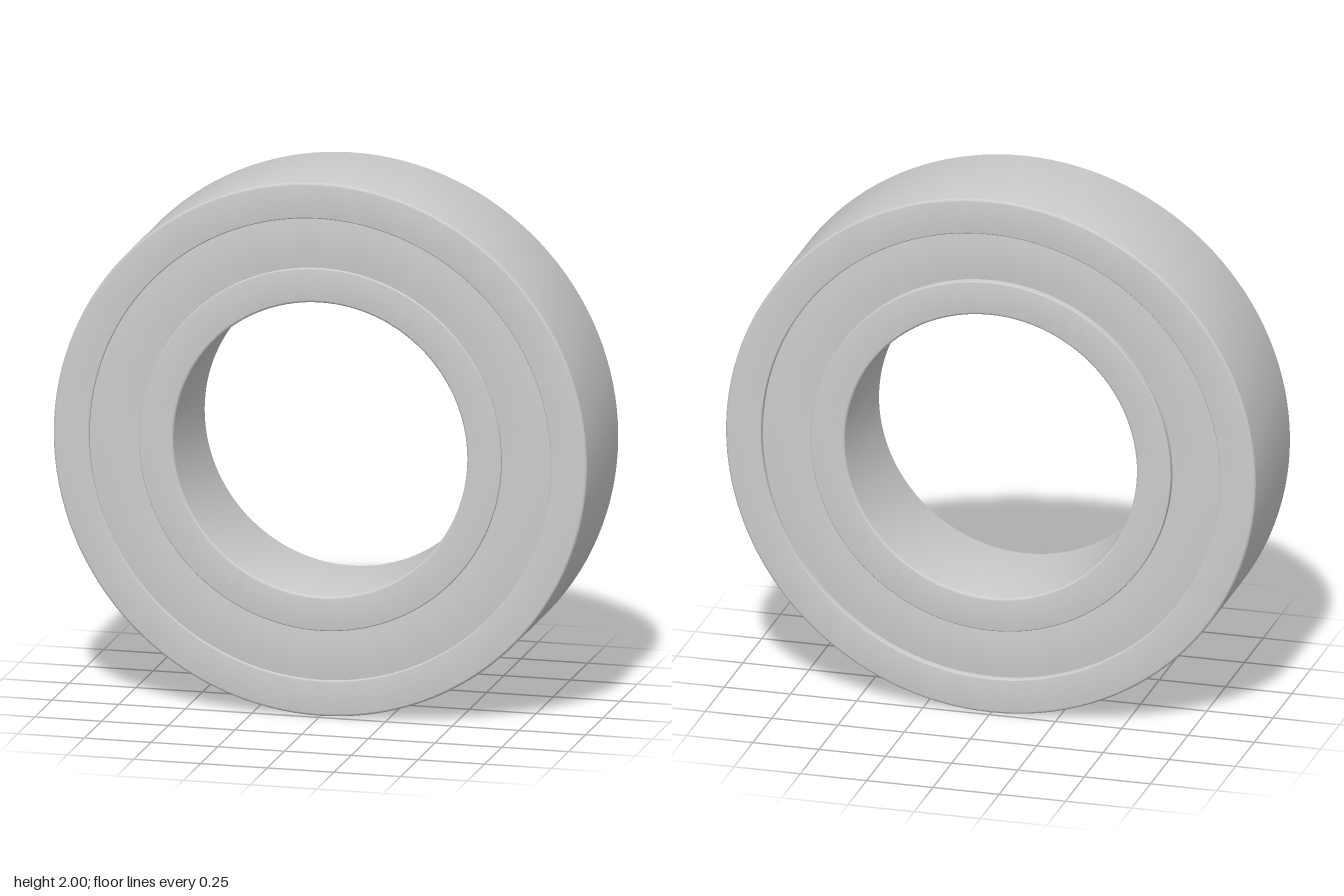
import * as THREE from 'three';
import { toCreasedNormals } from 'three/addons/utils/BufferGeometryUtils.js';

const HALF = 0.235; // half of the bearing's width
const material = new THREE.MeshStandardMaterial({ color: 0xcccccc });

// Solid ring around z with rounded edges; rIn/rOut radii, z0..z1 depth,
// fIn/fOut the fillet radius at the inner and outer edges
function ring(name, rIn, rOut, z0, z1, fIn, fOut) {
  const corners = [
    [rOut - fOut, z0 + fOut, fOut, -Math.PI / 2],
    [rOut - fOut, z1 - fOut, fOut, 0],
    [rIn + fIn, z1 - fIn, fIn, Math.PI / 2],
    [rIn + fIn, z0 + fIn, fIn, Math.PI],
  ];
  const steps = 5;
  const points = [];
  for (const [r, z, f, start] of corners) {
    for (let i = 0; i <= steps; i++) {
      const a = start + (i / steps) * Math.PI / 2;
      points.push(new THREE.Vector2(r + f * Math.cos(a), z + f * Math.sin(a)));
    }
  }
  points.push(points[0].clone());
  const lathe = new THREE.LatheGeometry(points, 128).rotateX(Math.PI / 2);
  const mesh = new THREE.Mesh(toCreasedNormals(lathe, 0.2), material);
  mesh.name = name;
  return mesh;
}

export function createModel() {
  const group = new THREE.Group();
  group.name = 'ballBearing';

  // Races
  group.add(ring('outerRace', 0.865, 1, -HALF, HALF, 0.006, 0.012));
  group.add(ring('innerRace', 0.55, 0.68, -HALF, HALF, 0.012, 0.006));

  // Thin shields closing the gap, set in a little from the race faces
  group.add(ring('frontShield', 0.677, 0.868, HALF - 0.04, HALF - 0.01, 0.002, 0.002));
  group.add(ring('backShield', 0.677, 0.868, -HALF + 0.025, -HALF + 0.055, 0.002, 0.002));

  group.position.y = 1;
  const model = new THREE.Group();
  model.add(group);
  return model;
}
